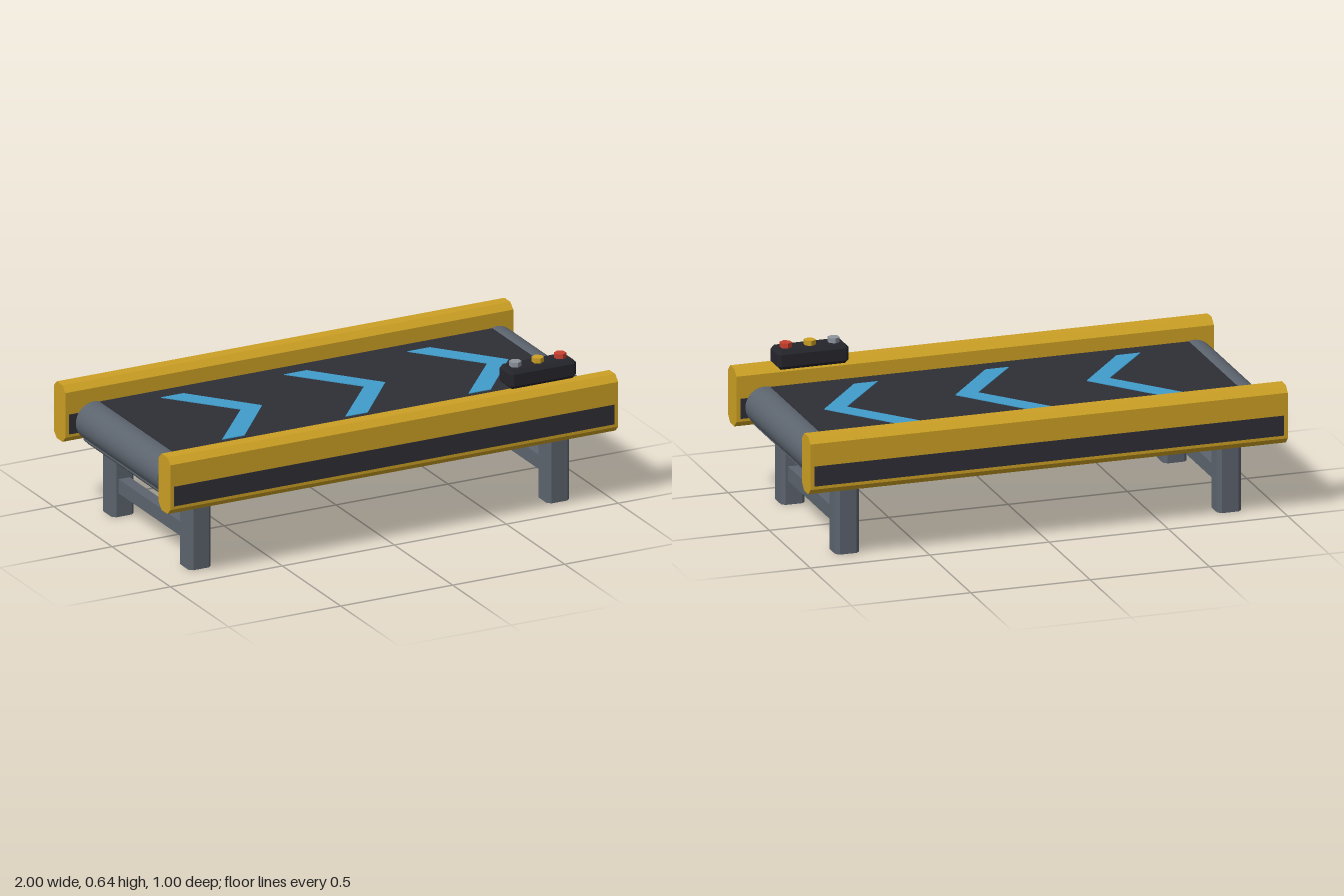
import * as THREE from 'three';
import { ConvexGeometry } from 'three/addons/geometries/ConvexGeometry.js';

const mat = (name, color) => {
  const m = new THREE.MeshStandardMaterial({ color });
  m.name = name;
  return m;
};

// Box with every edge cut at 45 degrees
function chamferBox(w, h, d, c) {
  const pts = [];
  for (const x of [-1, 1]) for (const y of [-1, 1]) for (const z of [-1, 1]) {
    const X = w / 2, Y = h / 2, Z = d / 2;
    pts.push(
      new THREE.Vector3(x * X, y * (Y - c), z * (Z - c)),
      new THREE.Vector3(x * (X - c), y * Y, z * (Z - c)),
      new THREE.Vector3(x * (X - c), y * (Y - c), z * Z));
  }
  return new ConvexGeometry(pts);
}

// Prism along z with four cut corners and flat ends, centred
function chamferPrism(w, h, length, c) {
  const a = w / 2, b = h / 2;
  const shape = new THREE.Shape([
    [a, c - b], [a, b - c], [a - c, b], [c - a, b],
    [-a, b - c], [-a, c - b], [c - a, -b], [a - c, -b],
  ].map(([x, y]) => new THREE.Vector2(x, y)));
  return new THREE.ExtrudeGeometry(shape, { depth: length, bevelEnabled: false })
    .translate(0, 0, -length / 2);
}

export function createModel() {
  const yellow = mat('safety yellow', 0xcca024);
  const steel = mat('steel grey', 0x5c646e);
  const rubber = mat('dark rubber', 0x2e2e36);
  const black = mat('console black', 0x24242b);
  const blue = mat('arrow blue', 0x429ccb);
  const red = mat('button red', 0xc8402f);
  const silver = mat('button grey', 0x8d949c);

  const model = new THREE.Group();
  model.name = 'conveyor';
  const add = (name, geometry, material, x = 0, y = 0, z = 0) => {
    const mesh = new THREE.Mesh(geometry, material);
    mesh.name = name;
    mesh.position.set(x, y, z);
    model.add(mesh);
    return mesh;
  };

  // Bed and belt
  add('bedFrame', chamferBox(1.88, 0.14, 0.76, 0.02), steel, 0, 0.37, 0);
  add('belt', new THREE.BoxGeometry(1.75, 0.05, 0.68), rubber, 0, 0.454, 0);

  // Direction arrows on the belt
  const arrow = new THREE.Shape([
    [0, 0.262], [0.1, 0.262], [0.315, 0], [0.1, -0.262], [0, -0.262], [0.22, 0],
  ].map(([x, y]) => new THREE.Vector2(x, y)));
  const arrowGeo = new THREE.ExtrudeGeometry(arrow, { depth: 0.004, bevelEnabled: false })
    .rotateX(-Math.PI / 2);
  for (const x of [-0.645, -0.095, 0.455]) add('beltArrow', arrowGeo, blue, x, 0.478, 0);

  // Side rails with a dark strip on both faces
  const railGeo = chamferPrism(0.1, 0.24, 2, 0.025).rotateY(Math.PI / 2);
  const stripGeo = new THREE.BoxGeometry(1.966, 0.083, 0.006);
  for (const s of [-1, 1]) {
    add('sideRail', railGeo, yellow, 0, 0.42, s * 0.45);
    for (const z of [0.399, 0.499]) add('railStrip', stripGeo, rubber, 0, 0.38, s * z);
  }

  // End rollers, legs and crossbars
  const rollerGeo = new THREE.CylinderGeometry(0.08, 0.08, 0.7, 24).rotateX(Math.PI / 2);
  const legGeo = chamferPrism(0.1, 0.1, 0.32, 0.015).rotateX(-Math.PI / 2);
  const barGeo = new THREE.BoxGeometry(0.05, 0.06, 0.58);
  for (const s of [-1, 1]) {
    add('roller', rollerGeo, steel, s * 0.9, 0.4, 0);
    add('crossbar', barGeo, steel, s * 0.8, 0.13, 0);
    for (const t of [-1, 1]) add('leg', legGeo, steel, s * 0.8, 0.16, t * 0.33);
  }

  // Control console with three six-sided buttons
  add('console', chamferBox(0.3, 0.08, 0.11, 0.015), black, 0.695, 0.58, 0.395);
  const buttonGeo = new THREE.CylinderGeometry(0.025, 0.025, 0.03, 6).toNonIndexed();
  buttonGeo.computeVertexNormals();
  [silver, yellow, red].forEach((m, i) =>
    add('button', buttonGeo, m, 0.595 + i * 0.1, 0.625, 0.395));

  return model;
}
